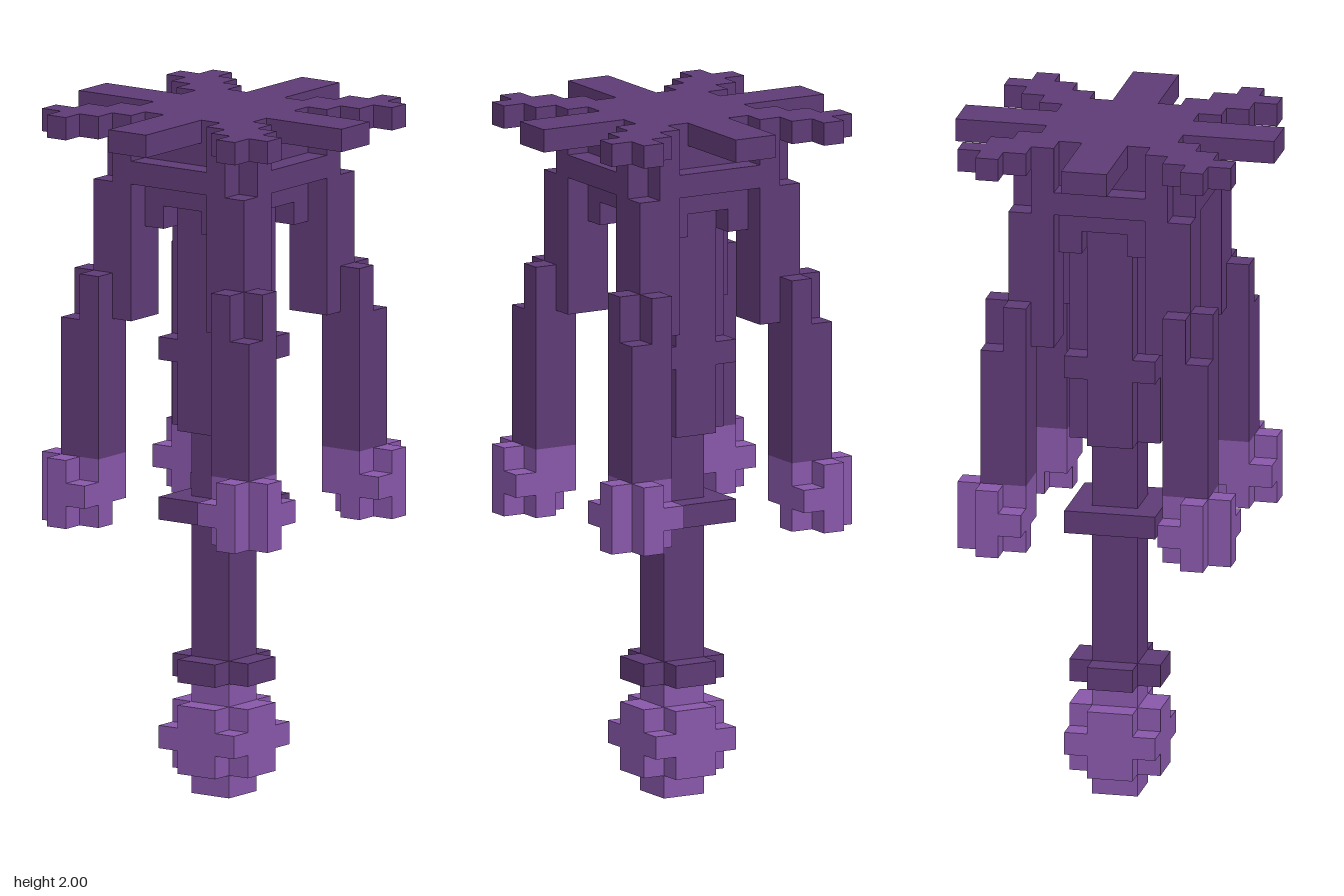
import * as THREE from 'three';

const U = 1 / 15; // one block

export function createModel() {
  const dark = new THREE.MeshStandardMaterial({ color: 0x5e3a75 });
  dark.name = 'dark purple';
  const light = new THREE.MeshStandardMaterial({ color: 0x8757a8 });
  light.name = 'light purple';

  const model = new THREE.Group();
  model.name = 'hangingLamp';

  // Box from block-unit ranges
  function box(parent, name, mat, x0, x1, y0, y1, z0, z1) {
    const g = new THREE.BoxGeometry((x1 - x0) * U, (y1 - y0) * U, (z1 - z0) * U);
    const m = new THREE.Mesh(g, mat);
    m.name = name;
    m.position.set((x0 + x1) / 2 * U, (y0 + y1) / 2 * U, (z0 + z1) / 2 * U);
    parent.add(m);
  }
  // Centred box with half widths a (x) and b (z)
  const mid = (name, mat, a, b, y0, y1) => box(model, name, mat, -a, a, y0, y1, -b, b);
  // Centred plus-shaped prism
  function plus(name, mat, a, b, y0, y1) {
    mid(name, mat, a, b, y0, y1);
    mid(name, mat, b, a, y0, y1);
  }

  // Bottom bulb
  mid('bulb', light, 1, 1, 0, 5);
  plus('bulb', light, 2, 1, 1, 4);
  mid('bulb', light, 2, 2, 2, 3);

  // Stem with collars
  plus('lowerCollar', dark, 2, 1, 5, 6);
  mid('stem', dark, 1, 1, 5, 16);
  mid('upperCollar', dark, 2, 2, 12, 13);

  // Central column
  plus('column', dark, 2, 1, 16, 29);
  mid('columnBand', dark, 2, 2, 19, 20);

  // Stepped vault below the canopy
  mid('vault', dark, 2, 2, 25, 29);
  plus('vault', dark, 3, 1, 26, 29);
  plus('vaultBeam', dark, 4, 3, 27, 28);

  // Canopy with four straight arms
  plus('canopyArm', dark, 7, 1, 29, 30);
  mid('canopy', dark, 3, 3, 29, 30);

  // Blocks of one corner limb: x, z, bottom, top (mirrored across the diagonal)
  const limb = [
    [1, 2, 25, 29], [2, 2, 21, 29], [2, 3, 21, 29], [3, 3, 15, 27],
    [3, 4, 15, 23], [4, 4, 15, 21],
  ];
  const canopyCorner = [[2, 3], [3, 3], [3, 4], [4, 4], [4, 5]];
  const tip = [
    [3, 3, 13, 15], [3, 4, 12, 15], [4, 4, 13, 15], [4, 5, 12, 15], [3, 5, 13, 14],
  ];

  for (const sx of [-1, 1]) for (const sz of [-1, 1]) {
    const corner = new THREE.Group();
    corner.name = (sz > 0 ? 'front' : 'back') + (sx > 0 ? 'Left' : 'Right') + 'Limb';
    model.add(corner);
    const cell = (name, mat, x, z, y0, y1) => {
      for (const [a, b] of x === z ? [[x, z]] : [[x, z], [z, x]]) {
        const cx = sx * (a + 0.5), cz = sz * (b + 0.5);
        box(corner, name, mat, cx - 0.5, cx + 0.5, y0, y1, cz - 0.5, cz + 0.5);
      }
    };
    limb.forEach(([x, z, y0, y1]) => cell('limb', dark, x, z, y0, y1));
    canopyCorner.forEach(([x, z]) => cell('canopyCorner', dark, x, z, 29, 30));
    tip.forEach(([x, z, y0, y1]) => cell('limbBulb', light, x, z, y0, y1));
  }
  return model;
}
